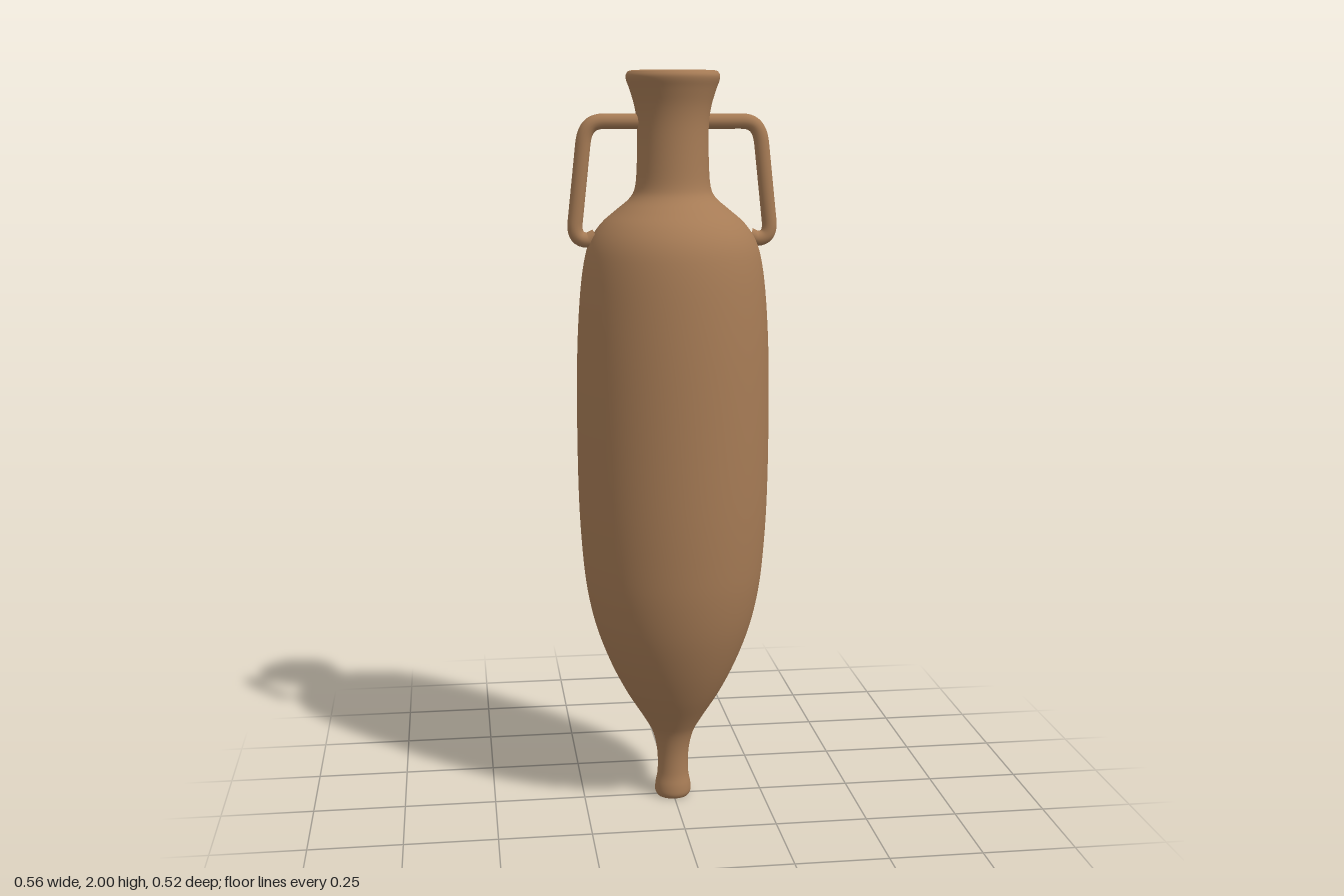
import * as THREE from 'three';

const v2 = ([x, y]) => new THREE.Vector2(x, y);
const smooth = (pts, n) => new THREE.SplineCurve(pts.map(v2)).getPoints(n);

export function createModel() {
  const model = new THREE.Group();
  model.name = 'amphora';
  const clay = new THREE.MeshStandardMaterial({ color: 0xa67b55 });
  clay.name = 'brown clay';

  // Outer wall from foot to lip
  const outer = smooth([
    [0.044, 0], [0.05, 0.012], [0.049, 0.035], [0.043, 0.07], [0.044, 0.13], [0.056, 0.185],
    [0.08, 0.23], [0.13, 0.31], [0.175, 0.4], [0.212, 0.5], [0.235, 0.6], [0.247, 0.7],
    [0.256, 0.85], [0.259, 1.05], [0.257, 1.25], [0.249, 1.4], [0.237, 1.5], [0.22, 1.56],
    [0.19, 1.605], [0.15, 1.64], [0.115, 1.67], [0.1, 1.7], [0.095, 1.76], [0.094, 1.85],
    [0.1, 1.905], [0.113, 1.95], [0.122, 1.975], [0.123, 1.988], [0.117, 1.998]
  ], 112);

  // Rounded lip, throat and hollow inside
  const inner = smooth([
    [0.109, 2], [0.1, 1.996], [0.093, 1.985], [0.09, 1.965], [0.083, 1.92], [0.08, 1.86],
    [0.08, 1.72], [0.09, 1.67], [0.13, 1.63], [0.175, 1.585], [0.212, 1.51], [0.23, 1.38],
    [0.238, 1.1], [0.235, 0.85], [0.214, 0.6], [0.155, 0.4], [0.09, 0.28], [0.04, 0.22], [0, 0.2]
  ], 72);
  inner[inner.length - 1].x = 0;

  const vessel = new THREE.Mesh(
    new THREE.LatheGeometry([v2([0, 0]), v2([0.04, 0]), ...outer, ...inner], 72), clay);
  vessel.name = 'vessel';
  model.add(vessel);

  // Looped handles from neck to shoulder, rounded at both bends
  for (const side of [1, -1]) {
    const p = (x, y) => new THREE.Vector3(side * x, y, 0);
    const path = new THREE.CurvePath();
    path.add(new THREE.LineCurve3(p(0.088, 1.87), p(0.18, 1.87)));
    path.add(new THREE.CubicBezierCurve3(p(0.18, 1.87), p(0.215, 1.87), p(0.232, 1.855), p(0.237, 1.81)));
    path.add(new THREE.LineCurve3(p(0.237, 1.81), p(0.259, 1.61)));
    path.add(new THREE.CubicBezierCurve3(p(0.259, 1.61), p(0.263, 1.575), p(0.25, 1.562), p(0.225, 1.562)));
    path.add(new THREE.LineCurve3(p(0.225, 1.562), p(0.205, 1.572)));
    const handle = new THREE.Mesh(new THREE.TubeGeometry(path, 72, 0.02, 16), clay);
    handle.name = side > 0 ? 'leftHandle' : 'rightHandle';
    model.add(handle);
  }
  return model;
}
